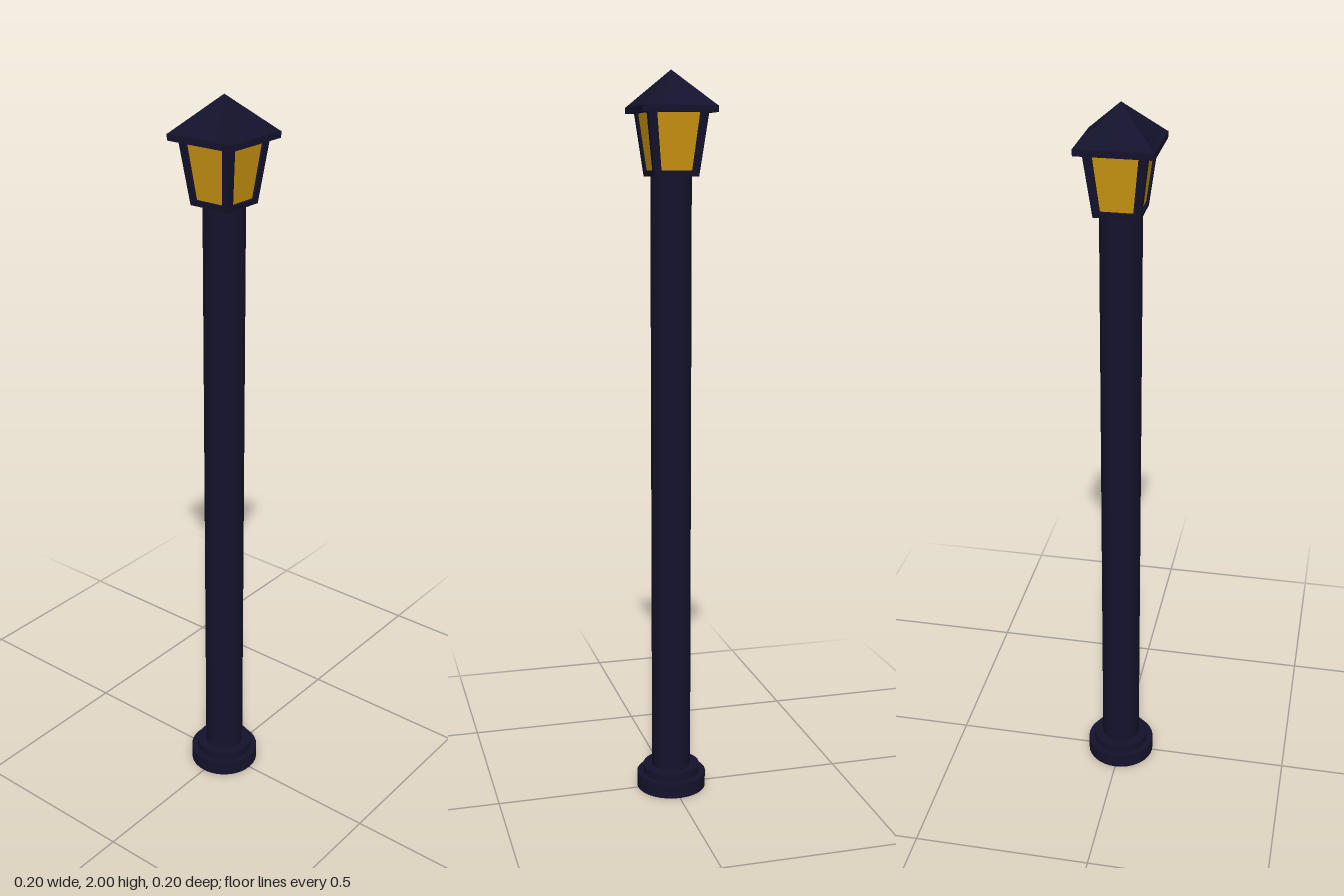
import * as THREE from 'three';

export function createModel() {
  const model = new THREE.Group();
  const iron = new THREE.MeshStandardMaterial({ color: 0x14122c });
  const ironFlat = new THREE.MeshStandardMaterial({ color: 0x14122c, flatShading: true });
  const amber = new THREE.MeshStandardMaterial({ color: 0xcc9611, flatShading: true });

  function add(name, geometry, material, y = 0, parent = model) {
    const mesh = new THREE.Mesh(geometry, material);
    mesh.name = name;
    mesh.position.y = y;
    parent.add(mesh);
    return mesh;
  }
  // Four-sided frustum given by half widths, faces square to the axes
  const frustum = (top, bottom, h) =>
    new THREE.CylinderGeometry(top * Math.SQRT2, bottom * Math.SQRT2, h, 4).rotateY(Math.PI / 4);

  // Round stepped foot and post
  add('baseDisc', new THREE.CylinderGeometry(0.098, 0.098, 0.042, 32), iron, 0.021);
  add('baseStep', new THREE.CylinderGeometry(0.08, 0.08, 0.025, 32), iron, 0.0525);
  add('post', new THREE.CylinderGeometry(0.055, 0.055, 1.68, 32), iron, 0.89);

  // Lantern: glass core inside four leaning window frames
  const yLow = 1.727, yHigh = 1.894, low = 0.06, high = 0.081;
  const rise = yHigh - yLow, lean = Math.atan2(high - low, rise), slant = Math.hypot(rise, high - low);
  const lantern = new THREE.Group();
  lantern.name = 'lantern';
  model.add(lantern);
  add('lanternFloor', frustum(0.061, 0.059, 0.012), ironFlat, yLow + 0.006, lantern);
  add('glass', frustum(high - 0.006, low - 0.006, rise), amber, (yLow + yHigh) / 2, lantern);

  const outline = new THREE.Shape([[-low, 0], [low, 0], [high, slant], [-high, slant]]
    .map(p => new THREE.Vector2(...p)));
  outline.holes.push(new THREE.Path([[-0.042, 0.015], [-0.058, slant - 0.003], [0.058, slant - 0.003], [0.042, 0.015]]
    .map(p => new THREE.Vector2(...p))));
  const frame = new THREE.ExtrudeGeometry(outline, { depth: 0.008, bevelEnabled: false });
  frame.translate(0, 0, -0.008).rotateX(lean).translate(0, yLow, low);
  for (let i = 0; i < 4; i++) {
    add('windowFrame', frame, ironFlat, 0, lantern).rotation.y = i * Math.PI / 2;
  }

  // Roof: square eave slab under a pyramid with gently waved lower edges
  add('eave', new THREE.BoxGeometry(0.2, 0.017, 0.2), ironFlat, 1.8985);
  const ring = [];
  const inset = [0.099, 0.092, 0.09, 0.092];
  for (let side = 0; side < 4; side++) {
    for (let k = 0; k < 4; k++) {
      const along = k === 0 ? -0.099 : -0.1 + k * 0.05;
      ring.push(new THREE.Vector3(along, 1.907, inset[k])
        .applyAxisAngle(new THREE.Vector3(0, 1, 0), side * Math.PI / 2));
    }
  }
  const apex = new THREE.Vector3(0, 2, 0);
  const corners = ring.flatMap((p, i) => [apex, p, ring[(i + 1) % ring.length]]);
  const roof = new THREE.BufferGeometry().setFromPoints(corners);
  roof.computeVertexNormals();
  add('roof', roof, ironFlat);

  return model;
}
